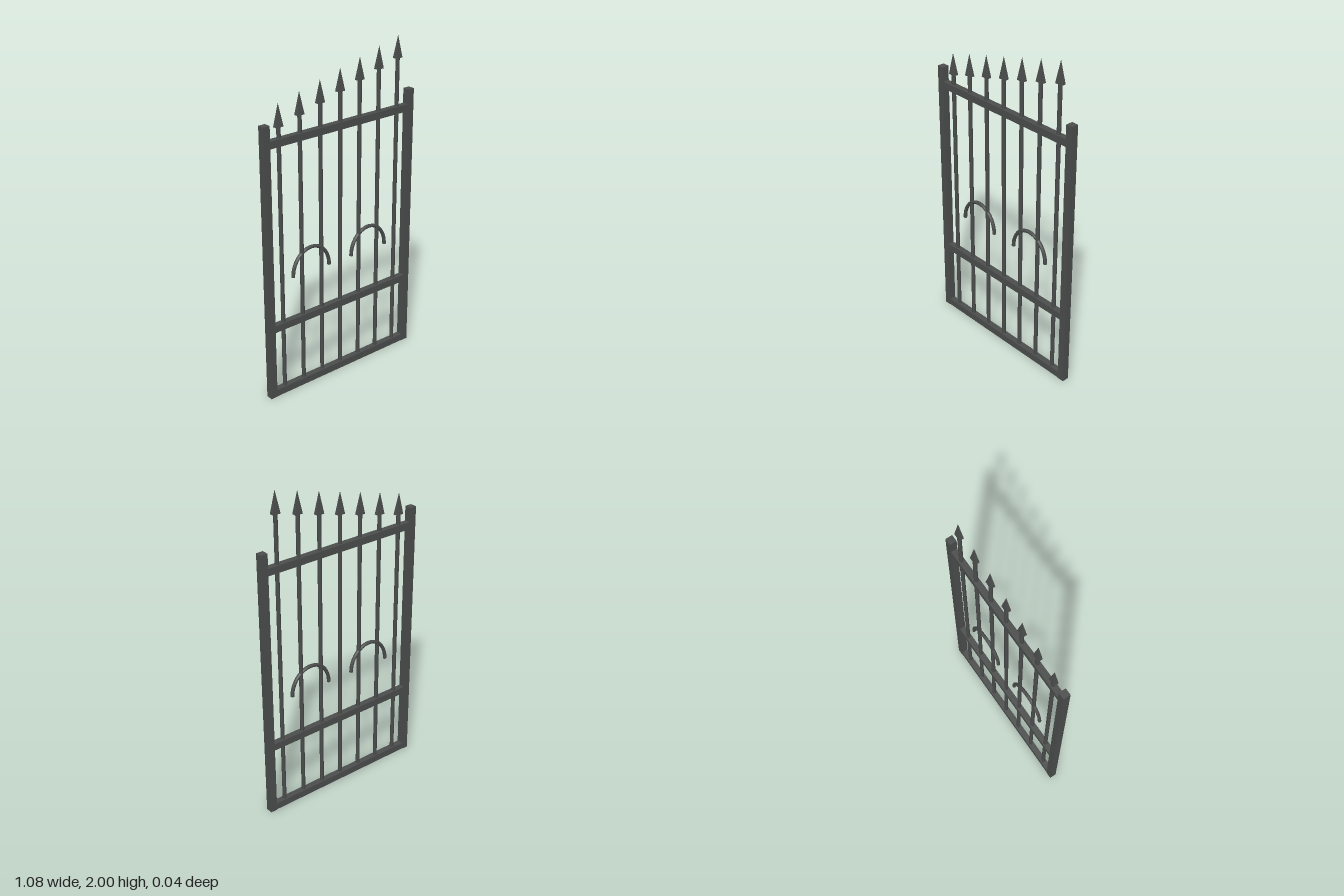
import * as THREE from 'three';

export function createModel() {
  const gate = new THREE.Group();
  gate.name = 'gate';

  const iron = new THREE.MeshStandardMaterial({ color: 0x4a4d4c });
  iron.name = 'dark iron';

  const add = (name, geometry, x, y, z = 0) => {
    const mesh = new THREE.Mesh(geometry, iron);
    mesh.name = name;
    mesh.position.set(x, y, z);
    gate.add(mesh);
    return mesh;
  };
  const faceted = (geometry) => {
    const flat = geometry.toNonIndexed();
    flat.computeVertexNormals();
    return flat;
  };

  // Side posts
  const postHeight = 1.672;
  for (const [side, name] of [[1, 'leftPost'], [-1, 'rightPost']]) {
    add(name, new THREE.BoxGeometry(0.043, postHeight, 0.043), side * 0.518, postHeight / 2);
  }

  // Cross rails
  const rail = new THREE.BoxGeometry(0.996, 0.043, 0.038);
  add('bottomRail', rail, 0, 0.0215);
  add('middleRail', rail, 0, 0.449);
  add('topRail', rail, 0, 1.562);

  // Upright bars rising towards the left, each with a four-sided spearhead
  const headHeight = 0.132;
  const head = new THREE.ConeGeometry(0.0245 * Math.SQRT2, headHeight, 4);
  head.rotateY(Math.PI / 4);
  head.scale(1, 1, 0.56);
  const spearhead = faceted(head);
  for (let i = 0; i < 7; i++) {
    const x = (i - 3) * 0.1417;
    const tip = 1.778 + i * 0.037;
    const base = tip - headHeight;
    const length = base - 0.02;
    add('bar', new THREE.CylinderGeometry(0.012, 0.012, length, 8), x, 0.02 + length / 2);
    add('spearhead', spearhead, x, base + headHeight / 2);
  }

  // Pair of bent arches, with closed ends
  const points = [];
  for (let i = 0; i <= 16; i++) {
    const a = Math.PI * (1 - i / 16);
    points.push(new THREE.Vector3(0.132 * Math.cos(a), 0.153 * Math.sin(a), 0));
  }
  const arch = new THREE.TubeGeometry(new THREE.CatmullRomCurve3(points), 32, 0.011, 8);
  const cap = new THREE.CircleGeometry(0.011, 8).rotateX(Math.PI / 2);
  for (const [side, name] of [[1, 'leftArch'], [-1, 'rightArch']]) {
    const x = side * 0.216;
    add(name, arch, x, 0.728);
    for (const end of [-1, 1]) add(name + 'End', cap, x + end * 0.132, 0.728);
  }

  return gate;
}
